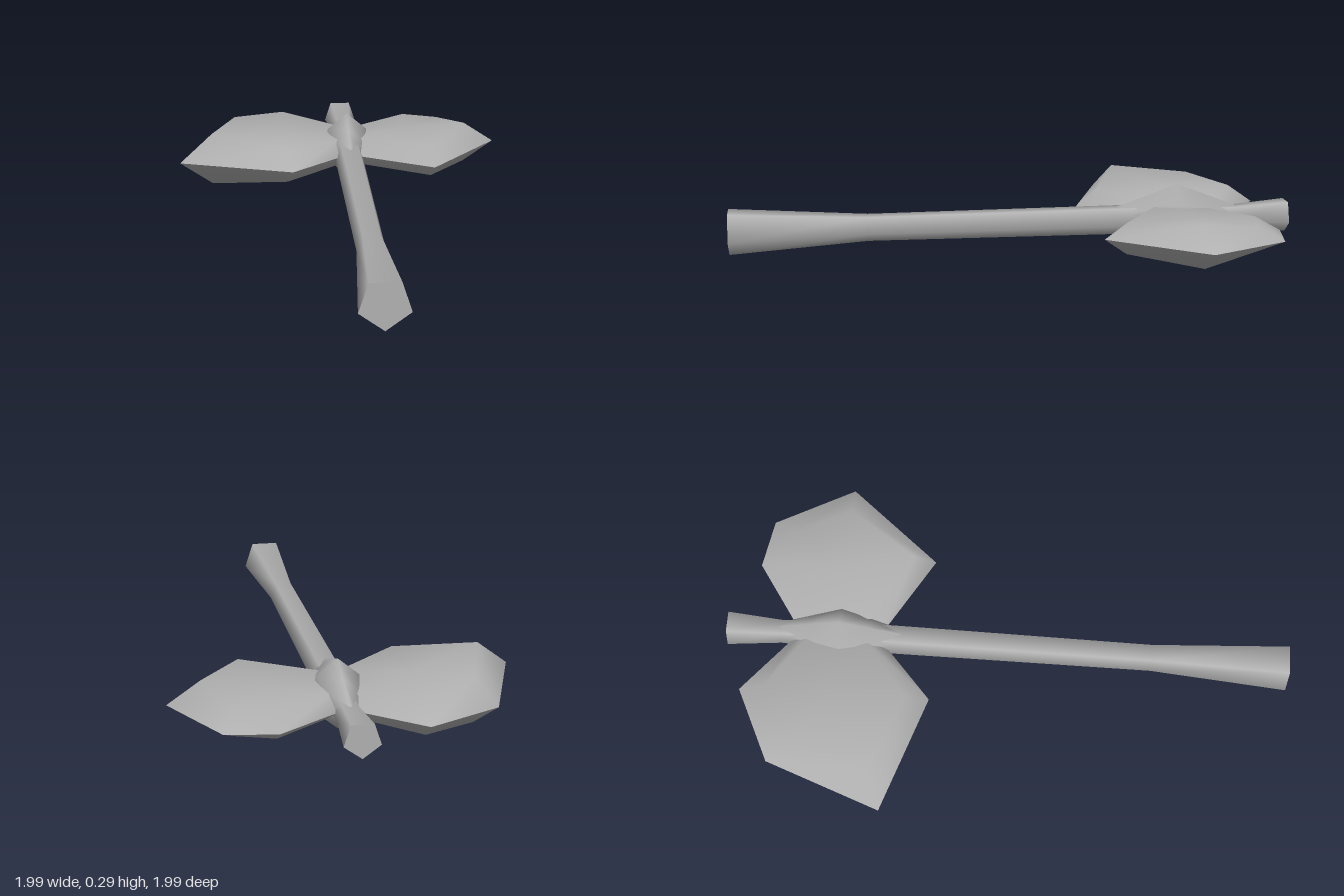
import * as THREE from 'three';

const MID = 0.15; // height of the flat-lying axe's mid-plane

// Few-sided turned shape along the diagonal; profile is [radius, distance along axis]
function turned(profile, sides, widthScale = 1) {
  const points = profile.map(([r, u]) => new THREE.Vector2(r, u));
  const geo = new THREE.LatheGeometry(points, sides);
  geo.normalizeNormals();
  geo.scale(widthScale, 1, 1);
  geo.rotateX(Math.PI / 2);
  geo.rotateY(Math.PI / 4);
  return geo;
}

// Blade: a thin sharp outline [x, z] bevelled up and down to an inner ring [x, z, height]
function bladeGeometry(outline, inner) {
  const n = outline.length;
  const centre = [0, 1, 2].map((k) => inner.reduce((s, p) => s + p[k], 0) / n);
  const positions = [];
  const index = [];
  for (const side of [1, -1]) {
    const base = positions.length / 3;
    const tri = (a, b, c) => index.push(base + a, base + (side > 0 ? b : c), base + (side > 0 ? c : b));
    outline.forEach(([x, z]) => positions.push(x, 0, z));
    [...inner, centre].forEach(([x, z, h]) => positions.push(x, side * h, z));
    for (let i = 0; i < n; i++) {
      const j = (i + 1) % n;
      tri(i, j, n + j);
      tri(i, n + j, n + i);
      tri(n + i, n + j, 2 * n);
    }
  }
  const geo = new THREE.BufferGeometry();
  geo.setAttribute('position', new THREE.Float32BufferAttribute(positions, 3));
  geo.setIndex(index);
  geo.computeVertexNormals();
  return geo;
}

export function createModel() {
  const group = new THREE.Group();
  group.name = 'doubleAxe';
  const grey = new THREE.MeshStandardMaterial({ color: 0xb0b0b0 });
  grey.name = 'grey';

  const add = (name, geometry) => {
    const mesh = new THREE.Mesh(geometry, grey);
    mesh.name = name;
    mesh.position.y = MID;
    group.add(mesh);
  };

  // Five-sided handle, flared at the butt; doubled points keep the end caps crisp
  add('handle', turned([
    [0, -1.06], [0.075, -1.06], [0.075, -1.06], [0.053, -0.83], [0.065, -0.58],
    [0.065, -0.3], [0.06, 0.735], [0.101, 1.31], [0.101, 1.31], [0, 1.31],
  ], 5));

  // Tall, narrow socket swelling around the handle between the blades
  add('socket', turned([
    [0.045, -0.84], [0.1, -0.7], [0.146, -0.58], [0.103, -0.46], [0.05, -0.31],
  ], 6, 0.7));

  // Larger blade
  add('largeBlade', bladeGeometry(
    [[-0.55, -0.53], [-0.89, -0.5], [-1, -0.18], [-0.78, 0.285], [-0.315, 0.055], [-0.3, -0.28]],
    [[-0.53, -0.48, 0.05], [-0.82, -0.42, 0.075], [-0.88, -0.16, 0.095],
      [-0.72, 0.145, 0.115], [-0.4, 0, 0.075], [-0.36, -0.3, 0.06]],
  ));

  // Smaller blade
  add('smallBlade', bladeGeometry(
    [[-0.28, -0.3], [0.11, -0.4], [0.06, -0.89], [-0.3, -1], [-0.47, -0.88], [-0.53, -0.55]],
    [[-0.34, -0.36, 0.06], [0.04, -0.46, 0.065], [-0.03, -0.79, 0.09],
      [-0.27, -0.89, 0.05], [-0.4, -0.8, 0.06], [-0.46, -0.52, 0.05]],
  ));

  return group;
}
